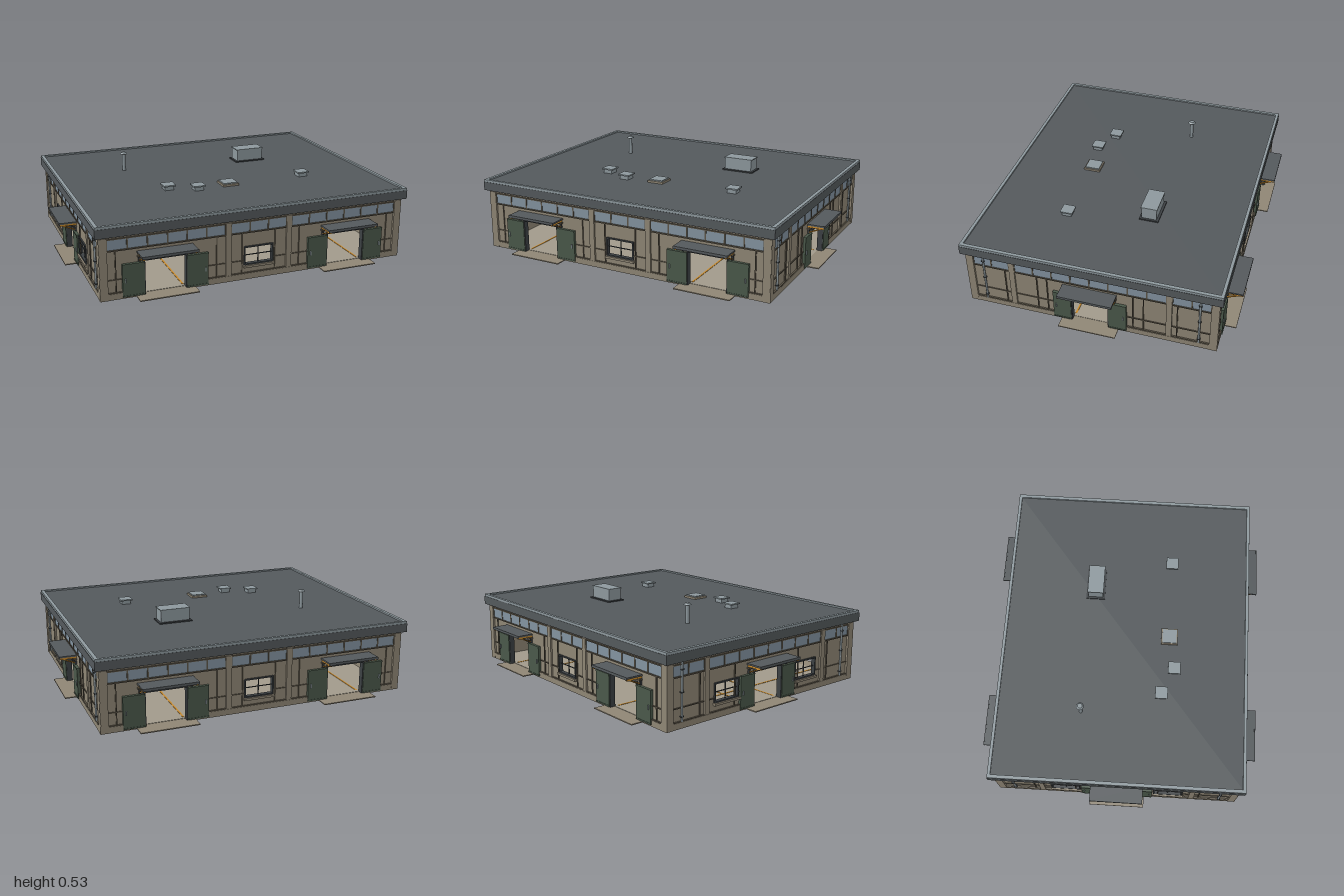
import * as THREE from 'three';

const mat = (name, color) => {
  const m = new THREE.MeshStandardMaterial({ color });
  m.name = name;
  return m;
};

export function createModel() {
  const tan = mat('wall tan', 0x8f8675);
  const trim = mat('trim brown', 0x5c5548);
  const slate = mat('roof slate', 0x54595c);
  const glass = mat('glass blue grey', 0x8393a0);
  const metal = mat('light metal', 0x8d989d);
  const green = mat('door green', 0x4a584a);
  const orange = mat('safety orange', 0xc78a2e);
  const concrete = mat('floor concrete', 0xa19a8b);
  const dark = mat('dark steel', 0x3c4043);

  const root = new THREE.Group();
  root.name = 'warehouse';
  const group = (name, parent = root) => {
    const g = new THREE.Group();
    g.name = name;
    parent.add(g);
    return g;
  };
  // box given by its two opposite corners
  const box = (parent, name, m, x0, x1, y0, y1, z0, z1) => {
    const mesh = new THREE.Mesh(new THREE.BoxGeometry(x1 - x0, y1 - y0, z1 - z0), m);
    mesh.position.set((x0 + x1) / 2, (y0 + y1) / 2, (z0 + z1) / 2);
    mesh.name = name;
    parent.add(mesh);
    return mesh;
  };

  // one sliding door pair with frame, ramp and canopy; d is the outer wall plane
  function doorway(parent, cx, w, leaf, d) {
    const g = group('doorway', parent);
    g.position.x = cx;
    const h = w / 2, c = 0.157;
    box(g, 'doorHeader', dark, -h, h, 0.2, 0.21, d - 0.03, d + 0.002);
    box(g, 'doorTrack', trim, -c, c, 0.225, 0.233, d - 0.012, d + 0.008);
    box(g, 'ramp', tan, -c - 0.01, c + 0.01, 0, 0.006, d - 0.03, d + 0.07);
    box(g, 'canopyRoof', slate, -c, c, 0.247, 0.256, d - 0.012, d + 0.088);
    box(g, 'canopyLip', slate, -c, c, 0.242, 0.257, d + 0.084, d + 0.09);
    for (const s of [-1, 1]) {
      const leafX = s * (h + leaf / 2);
      box(g, 'doorLeaf', green, leafX - leaf / 2, leafX + leaf / 2, 0.008, 0.195, d - 0.012, d + 0.003);
      for (const y of [0.008, 0.187])
        box(g, 'leafRail', green, leafX - leaf / 2, leafX + leaf / 2, y, y + 0.008, d + 0.003, d + 0.005);
      const hx = s * (h + leaf - 0.017);
      box(g, 'doorHandle', metal, hx - 0.003, hx + 0.003, 0.088, 0.112, d + 0.003, d + 0.009);
      box(g, 'doorJamb', dark, s * h - 0.005, s * h + 0.005, 0, 0.2, d - 0.034, d - 0.001);
      const bx = s * (c - 0.012);
      box(g, 'canopyBeam', orange, bx - 0.006, bx + 0.006, 0.235, 0.247, d - 0.012, d + 0.084);
      const strut = box(g, 'canopyStrut', orange, bx - 0.004, bx + 0.004, -0.003, 0.003, -0.042, 0.042);
      strut.position.set(bx, 0.221, d + 0.032);
      strut.rotation.x = -0.4;
      box(g, 'strutPlate', dark, bx - 0.006, bx + 0.006, 0.198, 0.235, d - 0.012, d - 0.002);
    }
  }

  // open window with bars and sill
  function windowFrame(parent, cx, d) {
    const g = group('window', parent);
    g.position.x = cx;
    const h = 0.085, z0 = d - 0.03, z1 = d - 0.004;
    for (const s of [-1, 1]) box(g, 'windowSide', dark, s * h - 0.004, s * h + 0.004, 0.085, 0.192, z0, z1);
    for (const y of [0.087, 0.19]) box(g, 'windowRail', dark, -h, h, y - 0.004, y + 0.004, z0, z1);
    box(g, 'windowBar', dark, -h, h, 0.137, 0.141, d - 0.022, d - 0.016);
    box(g, 'windowBar', dark, -0.002, 0.002, 0.087, 0.19, d - 0.022, d - 0.016);
    box(g, 'windowSill', tan, -h - 0.008, h + 0.008, 0.07, 0.083, d - 0.012, d + 0.006);
  }

  // one full side of the building, built facing +z and then turned
  function side(name, angle, half, d, o) {
    const g = group(name);
    g.rotation.y = angle;
    const e = half - 0.012, w = o.doorWidth / 2;
    const s = new THREE.Shape();
    s.moveTo(-e, 0);
    for (const c of o.doors) {
      s.lineTo(c - w, 0);
      s.lineTo(c - w, 0.2);
      s.lineTo(c + w, 0.2);
      s.lineTo(c + w, 0);
    }
    s.lineTo(e, 0);
    s.lineTo(e, 0.365);
    s.lineTo(-e, 0.365);
    for (const c of o.windows) {
      const p = new THREE.Path();
      p.moveTo(c - 0.085, 0.087);
      p.lineTo(c - 0.085, 0.19);
      p.lineTo(c + 0.085, 0.19);
      p.lineTo(c + 0.085, 0.087);
      s.holes.push(p);
    }
    const wall = new THREE.Mesh(new THREE.ExtrudeGeometry(s, { depth: 0.018, bevelEnabled: false }), tan);
    wall.position.z = d - 0.03;
    wall.name = 'wall';
    g.add(wall);

    // piers, clerestory glass and mullions
    const edge = half - 0.045, p = o.pier;
    for (const k of [-1, 1]) {
      box(g, 'cornerPier', tan, k * (half - 0.0235) - 0.0215, k * (half - 0.0235) + 0.0215, 0, 0.35, d - 0.03, d);
      box(g, 'pier', tan, k * p - 0.016, k * p + 0.016, 0.035, 0.345, d - 0.02, d - 0.001);
    }
    for (const [a, b] of [[-edge, -p - 0.016], [-p + 0.016, p - 0.016], [p + 0.016, edge]]) {
      box(g, 'clerestoryGlass', glass, a, b, 0.28, 0.337, d - 0.013, d - 0.008);
      const n = Math.round((b - a) / 0.115);
      for (let i = 0; i <= n; i++) {
        const x = a + (b - a) * i / n;
        box(g, 'mullion', trim, x - 0.004, x + 0.004, 0.28, 0.337, d - 0.013, d - 0.005);
      }
    }
    for (const y of [0.272, 0.336]) box(g, 'clerestoryRail', trim, -edge, edge, y, y + 0.007, d - 0.013, d - 0.004);

    // panel rails, broken at doors and windows
    const gaps = [...o.doors.map(c => [c - w, c + w]), ...o.windows.map(c => [c - 0.085, c + 0.085])]
      .sort((a, b) => a[0] - b[0]);
    let x = -edge;
    for (const [a, b] of [...gaps, [edge, edge]]) {
      box(g, 'panelRail', trim, x, a, 0.107, 0.113, d - 0.013, d - 0.007);
      x = b;
    }
    x = -half + 0.002;
    for (const [a, b] of [...o.doors.map(c => [c - w, c + w]), [half - 0.002, 0]]) {
      box(g, 'plinth', tan, x, a, 0, 0.034, d - 0.013, d - 0.001);
      box(g, 'plinthRail', trim, x, a, 0.034, 0.039, d - 0.013, d - 0.003);
      x = b;
    }
    for (const b of o.battens) for (const k of [-1, 1])
      box(g, 'batten', trim, k * b - 0.003, k * b + 0.003, 0.035, 0.275, d - 0.013, d - 0.006);
    for (const c of o.doors) doorway(g, c, o.doorWidth, o.leaf, d);
    for (const c of o.windows) windowFrame(g, c, d);
    if (o.pipes) for (const k of [-1, 1]) {
      const pipe = new THREE.Mesh(new THREE.CylinderGeometry(0.006, 0.006, 0.32, 10), metal);
      pipe.position.set(k * 0.625, 0.195, d - 0.004);
      pipe.name = 'downspout';
      g.add(pipe);
      for (const y of [0.06, 0.19, 0.31])
        box(g, 'pipeClip', dark, k * 0.625 - 0.009, k * 0.625 + 0.009, y, y + 0.006, d - 0.012, d + 0.003);
    }
  }

  const long = { doors: [-0.545, 0.545], doorWidth: 0.24, leaf: 0.122, windows: [0], pier: 0.183, battens: [0.1, 0.25, 0.82] };
  const short = { doors: [0], doorWidth: 0.22, leaf: 0.104, pier: 0.455, battens: [0.25, 0.5], pipes: true };
  side('frontSide', 0, 0.91, 0.73, long);
  side('backSide', Math.PI, 0.91, 0.73, long);
  side('leftSide', Math.PI / 2, 0.73, 0.91, { ...short, windows: [], battens: [0.25, 0.31, 0.5] });
  side('rightSide', -Math.PI / 2, 0.73, 0.91, { ...short, windows: [-0.31, 0.31] });

  // floor slab and painted aisle lines
  box(root, 'foundation', tan, -0.9, 0.9, 0, 0.004, -0.72, 0.72);
  box(root, 'floor', concrete, -0.88, 0.88, 0.004, 0.008, -0.7, 0.7);
  for (const c of [-0.545, 0.545]) for (const k of [-0.11, 0.11])
    box(root, 'aisleLine', orange, c + k - 0.005, c + k + 0.005, 0.008, 0.01, -0.68, 0.68);
  for (const k of [-0.1, 0.1]) box(root, 'crossAisleLine', orange, -0.86, 0.86, 0.008, 0.0095, k - 0.005, k + 0.005);

  // roof deck, fascia and coping
  const roof = group('roof');
  box(roof, 'roofDeck', slate, -0.915, 0.915, 0.362, 0.416, -0.735, 0.735);
  for (const k of [-1, 1]) {
    box(roof, 'fascia', slate, -0.932, 0.932, 0.36, 0.411, k * 0.741 - 0.009, k * 0.741 + 0.009);
    box(roof, 'fascia', slate, k * 0.923 - 0.009, k * 0.923 + 0.009, 0.36, 0.411, -0.732, 0.732);
    box(roof, 'coping', metal, -0.93, 0.93, 0.411, 0.425, k * 0.739 - 0.009, k * 0.739 + 0.009);
    box(roof, 'coping', metal, k * 0.92 - 0.01, k * 0.92 + 0.01, 0.411, 0.425, -0.73, 0.73);
  }

  // rooftop air unit
  const unit = group('airUnit', roof);
  box(unit, 'unitCurb', dark, 0.225, 0.425, 0.416, 0.423, -0.26, -0.145);
  box(unit, 'unitBody', metal, 0.238, 0.412, 0.423, 0.492, -0.246, -0.156);
  box(unit, 'unitLid', metal, 0.234, 0.416, 0.492, 0.498, -0.25, -0.152);

  // small roof vents and skylight
  for (const [x, z] of [[-0.365, 0.235], [-0.205, 0.305], [0.485, 0.265]]) {
    const v = group('roofVent', roof);
    box(v, 'ventBody', metal, x - 0.028, x + 0.028, 0.416, 0.439, z - 0.028, z + 0.028);
    box(v, 'ventCap', metal, x - 0.037, x + 0.037, 0.439, 0.447, z - 0.037, z + 0.037);
  }
  box(roof, 'skylightCurb', tan, -0.05, 0.05, 0.416, 0.428, 0.218, 0.318);
  box(roof, 'skylightPane', metal, -0.043, 0.043, 0.428, 0.435, 0.225, 0.311);

  // exhaust stack
  const stack = group('exhaustStack', roof);
  stack.position.set(-0.5, 0, -0.237);
  for (const [name, r0, r1, h, y] of [['stackPipe', 0.011, 0.011, 0.11, 0.468], ['stackCap', 0.014, 0.023, 0.01, 0.528]]) {
    const m = new THREE.Mesh(new THREE.CylinderGeometry(r0, r1, h, 16), metal);
    m.position.y = y;
    m.name = name;
    stack.add(m);
  }
  return root;
}
